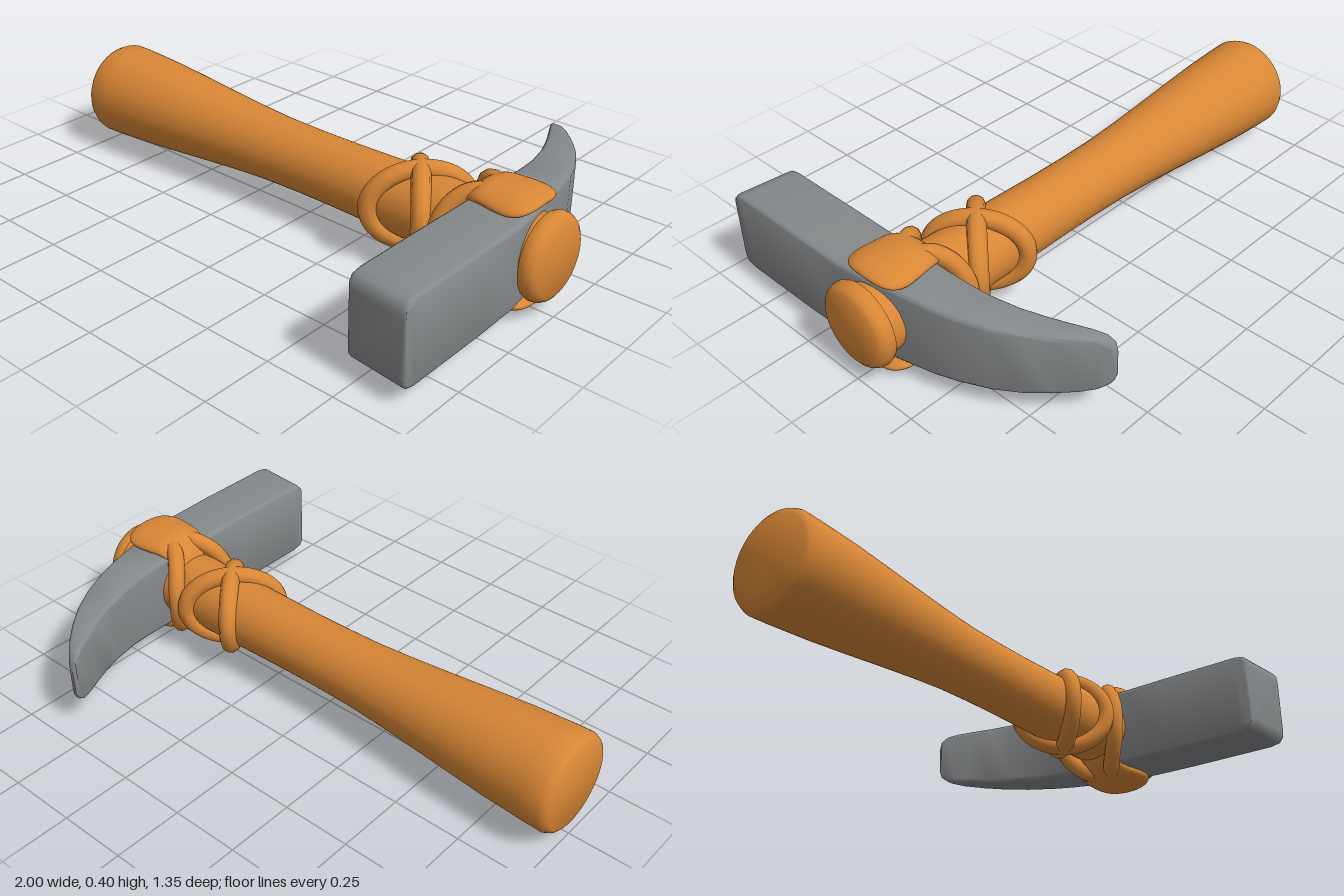
import * as THREE from 'three';
import { mergeVertices, toCreasedNormals } from 'three/addons/utils/BufferGeometryUtils.js';

const V = (x, y, z) => new THREE.Vector3(x, y, z);

// Rounded rectangle outline as [x, y] pairs
function roundedRect(x0, x1, h, r) {
  const pts = [], n = 4;
  const corners = [[x1 - r, h - r], [x0 + r, h - r], [x0 + r, -h + r], [x1 - r, -h + r]];
  corners.forEach(([cx, cy], c) => {
    for (let i = 0; i <= n; i++) {
      const a = (c + i / n) * Math.PI / 2;
      pts.push([cx + r * Math.cos(a), cy + r * Math.sin(a)]);
    }
  });
  return pts;
}

// Head: rounded sections swept from the striking face back to the curved claw
function headGeometry() {
  // z, left x, right x, half height, corner radius
  const sections = [
    [0.662, 0.728, 0.925, 0.105, 0.012], [0.657, 0.718, 0.932, 0.128, 0.015],
    [0.642, 0.714, 0.936, 0.143, 0.018], [0.61, 0.714, 0.937, 0.149, 0.018],
    [0.3, 0.714, 0.937, 0.149, 0.018], [0.13, 0.714, 0.933, 0.148, 0.018],
    [0, 0.715, 0.915, 0.147, 0.018], [-0.13, 0.716, 0.89, 0.143, 0.018],
    [-0.22, 0.71, 0.872, 0.138, 0.018], [-0.3, 0.7, 0.848, 0.133, 0.018],
    [-0.4, 0.674, 0.808, 0.126, 0.018], [-0.48, 0.643, 0.762, 0.12, 0.018],
    [-0.55, 0.61, 0.708, 0.114, 0.018], [-0.61, 0.58, 0.652, 0.107, 0.016],
    [-0.645, 0.563, 0.615, 0.098, 0.014], [-0.668, 0.555, 0.59, 0.08, 0.012],
    [-0.68, 0.56, 0.574, 0.05, 0.006],
  ];
  const pos = [], idx = [];
  let n = 0;
  for (const [z, x0, x1, h, r] of sections) {
    const ring = roundedRect(x0, x1, h, r);
    n = ring.length;
    const slant = z > 0.5 ? 0.09 : 0;
    for (const [x, y] of ring) pos.push(x, y, z + slant * (x - 0.82));
  }
  const last = sections.length - 1;
  for (let s = 0; s < last; s++) {
    for (let i = 0; i < n; i++) {
      const j = (i + 1) % n, a = s * n, b = a + n;
      idx.push(a + i, b + i, a + j, a + j, b + i, b + j);
    }
  }
  // End caps
  for (let i = 1; i < n - 1; i++) {
    idx.push(0, i, i + 1);
    idx.push(last * n, last * n + i + 1, last * n + i);
  }
  const g = new THREE.BufferGeometry();
  g.setAttribute('position', new THREE.Float32BufferAttribute(pos, 3));
  g.setIndex(idx);
  return toCreasedNormals(g, 0.7);
}

// Strap tab: squared-off flattened ball, narrowing and bending down at the neck
function tabGeometry() {
  let g = new THREE.SphereGeometry(1, 40, 24);
  g.deleteAttribute('uv');
  g.deleteAttribute('normal');
  g = mergeVertices(g);
  const p = g.attributes.position;
  const sq = (v, e) => Math.sign(v) * Math.pow(Math.abs(v), e);
  for (let i = 0; i < p.count; i++) {
    const X = sq(p.getX(i), 0.65), Z = sq(p.getZ(i), 0.7);
    const x = 0.8 + 0.135 * X;
    const z = 0.135 * Z * (0.83 + 0.15 * X);
    const bend = x < 0.77 ? 6 * (0.77 - x) ** 2 : 0;
    p.setXYZ(i, x, 0.173 + 0.029 * p.getY(i) - bend - 1.2 * z * z, z);
  }
  g.computeVertexNormals();
  return g;
}

export function createModel() {
  const wood = new THREE.MeshStandardMaterial({ color: 0xd98736 });
  wood.name = 'orange wood';
  const metal = new THREE.MeshStandardMaterial({ color: 0x86898b });
  metal.name = 'grey metal';

  const model = new THREE.Group();
  model.name = 'hammer';
  const body = new THREE.Group();
  body.name = 'hammerBody';
  body.position.y = 0.208;
  model.add(body);
  const add = (name, geometry, material) => {
    const m = new THREE.Mesh(geometry, material);
    m.name = name;
    body.add(m);
    return m;
  };

  // Handle, flared at the grip end; profile is [x along handle, radius]
  const lathe = (profile) => {
    const g = new THREE.LatheGeometry(profile.map(([x, r]) => new THREE.Vector2(r, x)), 40);
    g.rotateZ(-Math.PI / 2);
    return toCreasedNormals(g, 0.7);
  };
  add('handle', lathe([
    [-1, 0], [-1, 0.152], [-0.99, 0.166], [-0.97, 0.175], [-0.9, 0.173], [-0.75, 0.165],
    [-0.6, 0.153], [-0.45, 0.14], [-0.3, 0.128], [-0.15, 0.119], [0, 0.116], [0.15, 0.116],
    [0.4, 0.12], [0.7, 0.125], [0.95, 0.125],
  ]), wood);
  add('handleEndCap', lathe([
    [0.935, 0], [0.935, 0.125], [0.942, 0.142], [0.955, 0.148], [0.975, 0.146],
    [0.99, 0.137], [1, 0.122], [1, 0],
  ]), wood);

  add('head', headGeometry(), metal);

  // Two tilted lashing rings that cross above and below the handle
  for (const [name, tilt] of [['lashingFront', 0.1], ['lashingBack', -0.115]]) {
    const pts = [];
    for (let i = 0; i < 16; i++) {
      const a = i / 16 * Math.PI * 2;
      pts.push(V(0.475 + tilt * Math.cos(a), 0.131 * Math.sin(a), 0.127 * Math.cos(a)));
    }
    add(name, new THREE.TubeGeometry(new THREE.CatmullRomCurve3(pts, true), 64, 0.033, 10, true), wood);
  }

  // Strap legs curving behind the head, on both sides of the handle
  for (const s of [1, -1]) {
    const upper = [[0.76, 0.165, 0.03], [0.705, 0.153, 0.06], [0.665, 0.115, 0.095], [0.643, 0.06, 0.122]];
    const pts = [...upper, [0.635, 0, 0.13], ...upper.map(([x, y, z]) => [x, -y, z]).reverse()]
      .map(([x, y, z]) => V(x, y, z * s));
    add(s > 0 ? 'strapLegFront' : 'strapLegBack',
      new THREE.TubeGeometry(new THREE.CatmullRomCurve3(pts), 48, 0.031, 10), wood);
  }

  // Strap tabs gripping the head from above and below
  const tab = tabGeometry();
  add('strapTabTop', tab, wood);
  add('strapTabBottom', tab, wood).rotation.x = Math.PI;

  return model;
}
